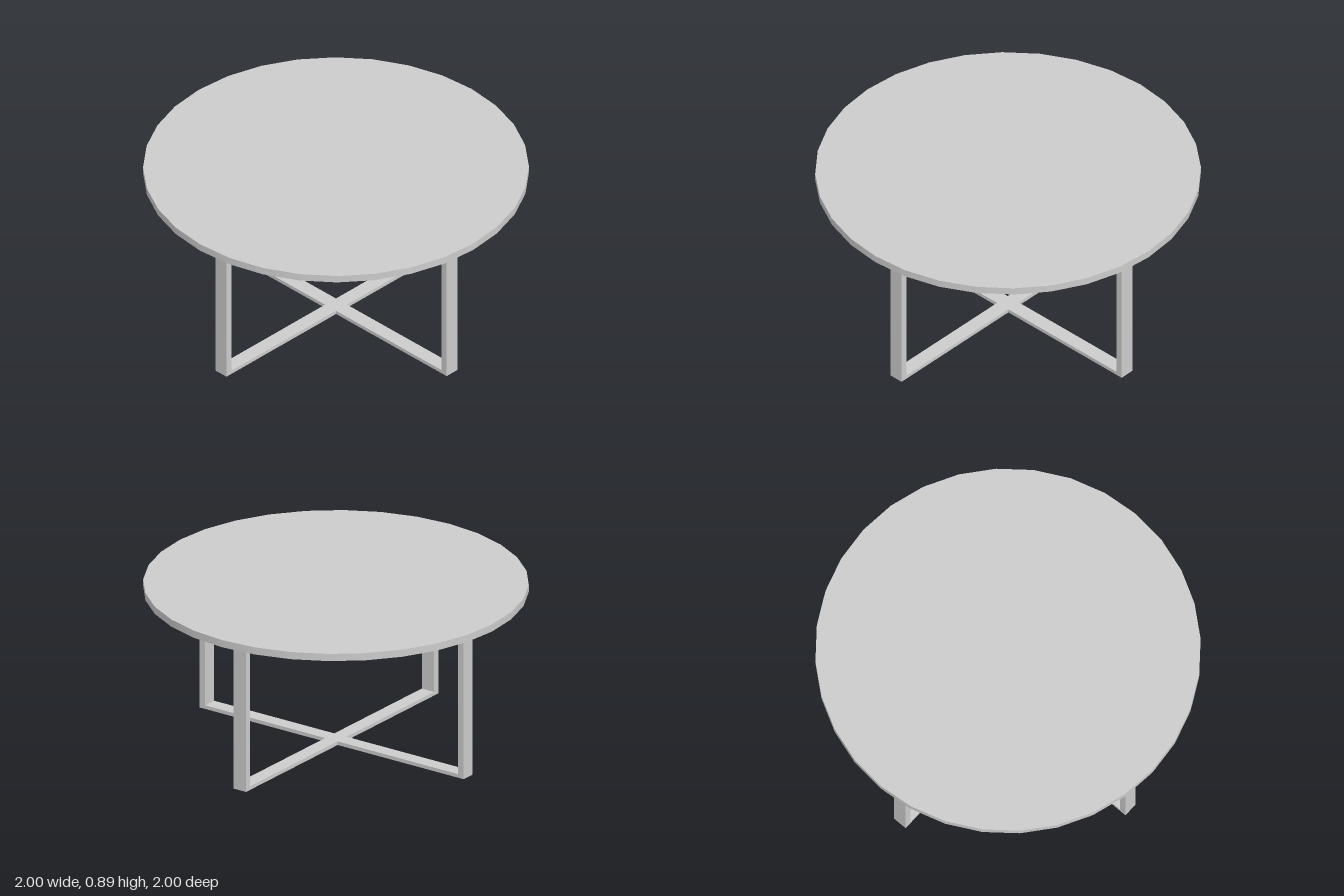
import * as THREE from 'three';

const TOP = 0.888, UNDER = 0.848;   // table top slab
const OUT = 0.847, INNER = 0.81;    // outer and inner faces of the legs
const WIDTH = 0.08, BAR = 0.02;     // frame depth and bar thickness

const material = new THREE.MeshStandardMaterial({ color: 0xcccccc, side: THREE.DoubleSide });

function rectangle(PathType, halfWidth, bottom, top) {
  return new PathType([
    new THREE.Vector2(-halfWidth, bottom),
    new THREE.Vector2(halfWidth, bottom),
    new THREE.Vector2(halfWidth, top),
    new THREE.Vector2(-halfWidth, top),
  ]);
}

// Leaves the shell open below by dropping the faces that lie flat at y = 0
function openBelow(geometry) {
  const position = geometry.attributes.position;
  const kept = [];
  for (let i = 0; i < position.count; i += 3) {
    const corners = [i, i + 1, i + 2];
    if (corners.some((c) => position.getY(c) > 1e-5)) kept.push(...corners);
  }
  geometry.setIndex(kept);
  geometry.clearGroups();
  return geometry;
}

// Hollow rectangular frame: two legs joined by a floor bar and a top bar
function createFrame(name) {
  const outline = rectangle(THREE.Shape, OUT, 0, UNDER);
  outline.holes.push(rectangle(THREE.Path, INNER, BAR, UNDER - BAR));
  const geometry = new THREE.ExtrudeGeometry(outline, { depth: WIDTH, bevelEnabled: false });
  geometry.translate(0, 0, -WIDTH / 2);
  const frame = new THREE.Mesh(openBelow(geometry), material);
  frame.name = name;
  return frame;
}

export function createModel() {
  const table = new THREE.Group();
  table.name = 'roundTable';

  // Round top: a disc with a rim, open underneath
  const disc = new THREE.CylinderGeometry(1, 1, TOP - UNDER, 32).toNonIndexed();
  disc.translate(0, (TOP - UNDER) / 2, 0);
  const tableTop = new THREE.Mesh(openBelow(disc), material);
  tableTop.name = 'tableTop';
  tableTop.position.y = UNDER;

  // Two frames crossing at right angles
  const sideFrame = createFrame('sideToSideFrame');
  const depthFrame = createFrame('frontToBackFrame');
  depthFrame.rotation.y = Math.PI / 2;

  table.add(tableTop, sideFrame, depthFrame);
  return table;
}
